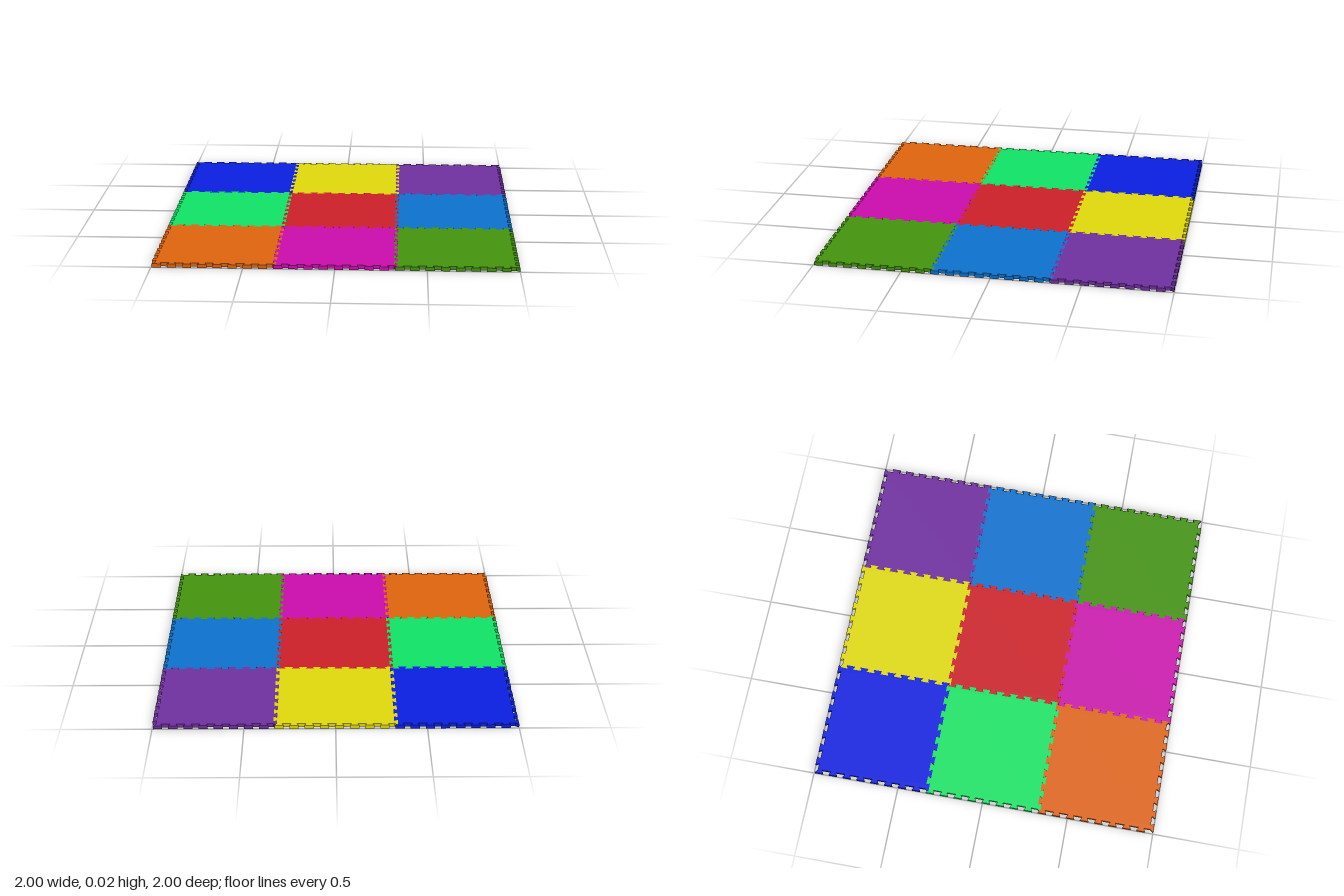
import * as THREE from 'three';

const SPACING = 0.66;     // distance between tile centres
const BODY = 0.32;        // half size of a tile without teeth
const EDGE = 0.34;        // half size including teeth
const THICKNESS = 0.021;
const TEETH = 8;
const PITCH = SPACING / TEETH;
const ROOT = 0.0155;      // half width of a tooth at its root
const TIP = 0.0252;       // half width of a tooth at its tip

// Square tile with dovetail teeth; each edge is the previous one turned by 90 degrees,
// so that the teeth of neighbouring tiles interlock.
function tileGeometry() {
  const edge = [[-BODY, BODY]];
  for (let i = 0; i < TEETH; i++) {
    const c = (i - 3.25) * PITCH;
    edge.push([c - ROOT, BODY], [c - TIP, EDGE], [c + TIP, EDGE], [Math.min(c + ROOT, BODY), BODY]);
  }
  edge.pop(); // the last root is the first corner of the next edge

  const points = [];
  for (let side = 0; side < 4; side++) {
    for (const [px, py] of edge) {
      let x = px, y = py;
      for (let k = 0; k < side; k++) [x, y] = [y, -x];
      points.push(new THREE.Vector2(x, y));
    }
  }
  const geometry = new THREE.ExtrudeGeometry(new THREE.Shape(points), { depth: THICKNESS, bevelEnabled: false });
  return geometry.rotateX(-Math.PI / 2);
}

export function createModel() {
  const model = new THREE.Group();
  model.name = 'puzzleMat';

  // Tile colours, rows from back to front, left to right
  const rows = [
    [['blueTile', 0x0a1fe0], ['yellowTile', 0xdfd80c], ['purpleTile', 0x7030a0]],
    [['mintTile', 0x10e265], ['redTile', 0xcc2029], ['azureTile', 0x0c72ce]],
    [['orangeTile', 0xde640c], ['magentaTile', 0xca0cae], ['greenTile', 0x44930e]],
  ];
  const geometry = tileGeometry();
  rows.forEach((row, r) => row.forEach(([name, color], c) => {
    const tile = new THREE.Mesh(geometry, new THREE.MeshStandardMaterial({ color }));
    tile.name = name;
    tile.position.set((c - 1) * SPACING, 0, (r - 1) * SPACING);
    model.add(tile);
  }));
  return model;
}
